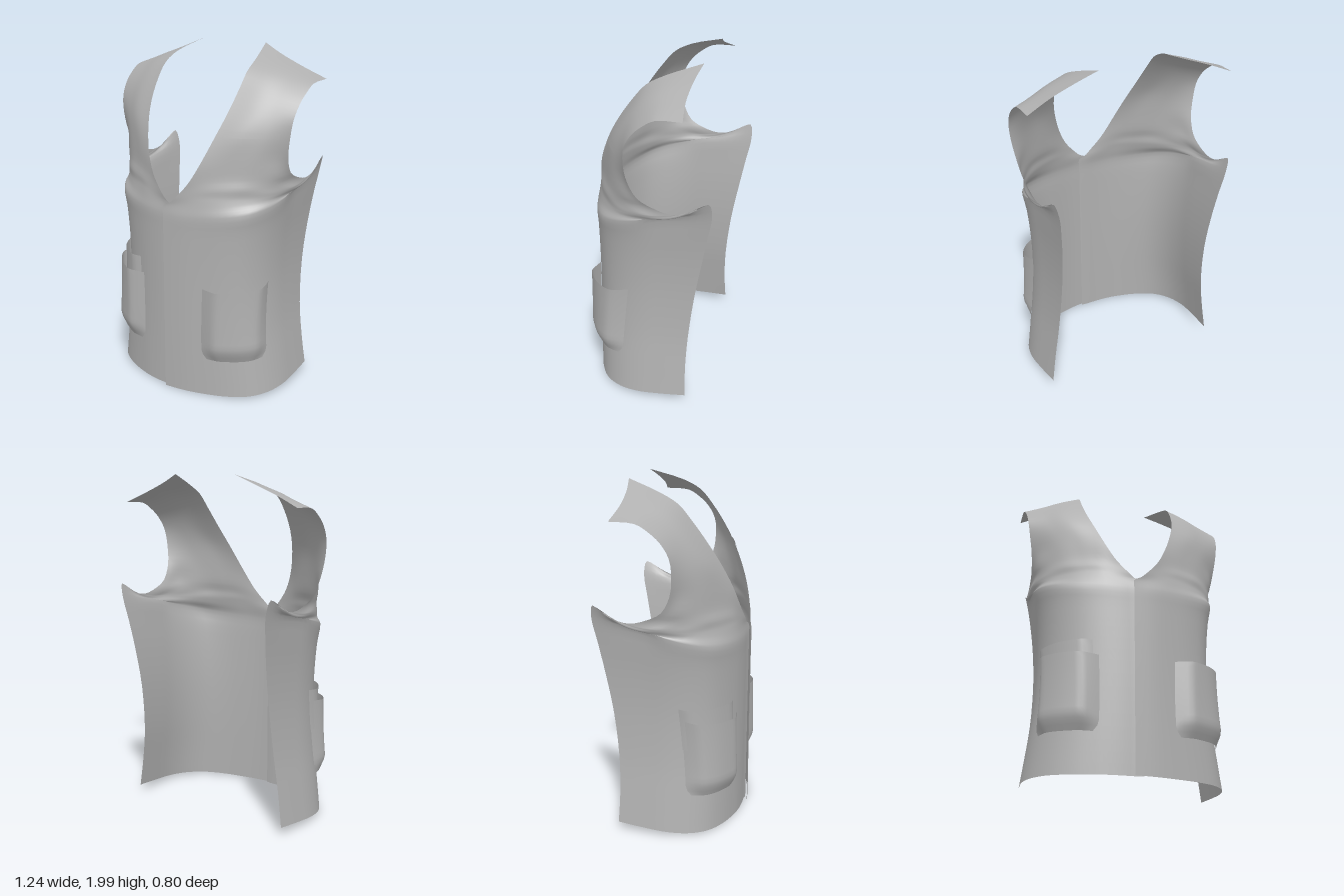
import * as THREE from 'three';

const V = (p) => new THREE.Vector3(p[0], p[1], p[2]);

// Body rows from hem to underarm: front height, back height, half width, back edge z
const bodyRows = [
  [0.01, 0.06, 0.56, -0.268], [0.2, 0.24, 0.535, -0.262], [0.42, 0.45, 0.508, -0.27],
  [0.65, 0.72, 0.495, -0.30], [0.85, 0.95, 0.502, -0.34], [1.0, 1.14, 0.52, -0.375],
  [1.09, 1.28, 0.54, -0.40],
];
// Cross-section of the body as fraction of half width, and z
const section = [[0.18, 0.385], [0.4, 0.355], [0.63, 0.31], [0.83, 0.24], [0.95, 0.14], [1, 0.02], [0.995, -0.12]];

// Rows ending along the bottom of the armhole
const underarmRows = [
  [[-0.025, 1.14, 0.398], [0.2, 1.15, 0.35], [0.37, 1.17, 0.27], [0.5, 1.19, 0.14], [0.545, 1.22, -0.06], [0.555, 1.26, -0.22], [0.548, 1.36, -0.385]],
  [[0.02, 1.17, 0.39], [0.22, 1.19, 0.335], [0.38, 1.205, 0.25], [0.5, 1.215, 0.13], [0.55, 1.235, -0.02], [0.557, 1.255, -0.15], [0.556, 1.3, -0.29]],
  [[0.05, 1.2, 0.385], [0.23, 1.22, 0.325], [0.38, 1.23, 0.245], [0.5, 1.24, 0.13], [0.55, 1.25, 0], [0.557, 1.258, -0.1], [0.558, 1.275, -0.18]],
  [[0.09, 1.245, 0.372], [0.28, 1.26, 0.3], [0.42, 1.27, 0.215], [0.52, 1.28, 0.09], [0.558, 1.3, -0.08]],
  [[0.13, 1.3, 0.357], [0.3, 1.315, 0.275], [0.43, 1.325, 0.195], [0.53, 1.335, 0.09], [0.562, 1.345, 0]],
];
// Rows from the neckline to the armhole, up over the shoulder
const shoulderRows = [
  [[0.18, 1.4, 0.325], [0.32, 1.415, 0.255], [0.45, 1.43, 0.175], [0.573, 1.44, 0.05]],
  [[0.235, 1.55, 0.26], [0.36, 1.555, 0.215], [0.47, 1.555, 0.15], [0.59, 1.55, 0.065]],
  [[0.27, 1.68, 0.185], [0.4, 1.665, 0.15], [0.5, 1.66, 0.1], [0.602, 1.65, 0.055]],
  [[0.285, 1.8, 0.1], [0.4, 1.78, 0.075], [0.5, 1.755, 0.045], [0.61, 1.73, 0.01]],
  [[0.285, 1.88, 0.03], [0.4, 1.855, 0], [0.5, 1.825, -0.03], [0.615, 1.785, -0.05]],
  [[0.275, 1.935, -0.07], [0.4, 1.9, -0.09], [0.5, 1.865, -0.11], [0.618, 1.825, -0.12]],
  [[0.215, 2.0, -0.265], [0.33, 1.95, -0.245], [0.48, 1.89, -0.24], [0.62, 1.832, -0.26]],
];

const rows = [
  ...bodyRows.map(([yf, yb, w, zb]) => {
    const pts = [[-0.025, yf, 0.4]];
    section.forEach(([fx, z], i) => {
      const t = (i + 1) / (section.length + 1);
      pts.push([fx * w, yf + (yb - yf) * t * t, z]);
    });
    pts.push([w * 0.975, yb, zb]);
    return pts;
  }),
  ...underarmRows, ...shoulderRows,
].map((pts) => new THREE.CatmullRomCurve3(pts.map(V)));
const LAST = rows.length - 1;

// Point on the cloth: u runs from the front edge to the armhole, v counts rows upward
const columns = new Map();
function cloth(u, v) {
  if (!columns.has(u)) columns.set(u, new THREE.CatmullRomCurve3(rows.map((r) => r.getPointAt(u))));
  return columns.get(u).getPoint(Math.min(1, Math.max(0, v / LAST)));
}

// Point lifted off the cloth along its outward normal
function lifted(u, v, d) {
  const p = cloth(u, v), e = 0.01;
  const du = cloth(u + e, v).sub(cloth(u - e, v));
  const dv = cloth(u, v + e).sub(cloth(u, v - e));
  return p.addScaledVector(du.cross(dv).normalize(), d);
}

// Grid surface from a rule fn(a, b) with a and b in 0..1
function sheet(name, nu, nv, fn, side, material) {
  const pos = [], idx = [];
  for (let j = 0; j <= nv; j++) {
    for (let i = 0; i <= nu; i++) {
      const p = fn(i / nu, j / nv);
      pos.push(p.x * side, p.y, p.z);
    }
  }
  for (let j = 0; j < nv; j++) {
    for (let i = 0; i < nu; i++) {
      const a = j * (nu + 1) + i, b = a + 1, c = a + nu + 1, d = c + 1;
      if (side > 0) idx.push(a, b, d, a, d, c);
      else idx.push(a, d, b, a, c, d);
    }
  }
  const g = new THREE.BufferGeometry();
  g.setAttribute('position', new THREE.Float32BufferAttribute(pos, 3));
  g.setIndex(idx);
  g.computeVertexNormals();
  const m = new THREE.Mesh(g, material);
  m.name = name;
  return m;
}

const ramp = (t, w) => Math.min(1, t / w);

export function createModel() {
  const group = new THREE.Group();
  group.name = 'vest';
  const fabric = new THREE.MeshStandardMaterial({ color: 0xb0b0b0, side: THREE.DoubleSide });
  fabric.name = 'grey fabric';

  for (const side of [1, -1]) {
    const label = side > 0 ? 'left' : 'right';

    // Front panel; the right one tucks under the left at the closure
    group.add(sheet(label + 'FrontPanel', 28, LAST * 3, (a, b) => {
      const p = cloth(a, b * LAST);
      if (side < 0) p.z -= 0.02 * Math.max(0, 1 - Math.abs(p.x) / 0.2);
      return p;
    }, side, fabric));

    // Bulging patch pocket with open top and rounded lower corners
    group.add(sheet(label + 'Pocket', 20, 14, (a, b) => {
      const inset = 0.03 * Math.pow(Math.max(0, 1 - b / 0.15), 2);
      const u = 0.235 + inset + (0.385 - 2 * inset) * a;
      const d = 0.004 + 0.056 * ramp(Math.min(a, 1 - a), 0.22) * (0.3 + 0.7 * ramp(b, 0.18));
      return lifted(u, 1.2 + 1.92 * b, d);
    }, side, fabric));
  }

  // Inner pocket showing above the right pocket
  group.add(sheet('rightInnerPocket', 14, 6, (a, b) => {
    const d = 0.003 + 0.025 * ramp(Math.min(a, 1 - a), 0.12);
    return lifted(0.265 + 0.36 * a, 2.4 + (1.16 - 0.14 * a) * b, d);
  }, -1, fabric));

  // Chest pocket welt on the left
  group.add(sheet('chestWelt', 12, 2, (a, b) => lifted(0.12 + 0.74 * a, 12.95 + 0.28 * b, 0.006), 1, fabric));

  return group;
}
